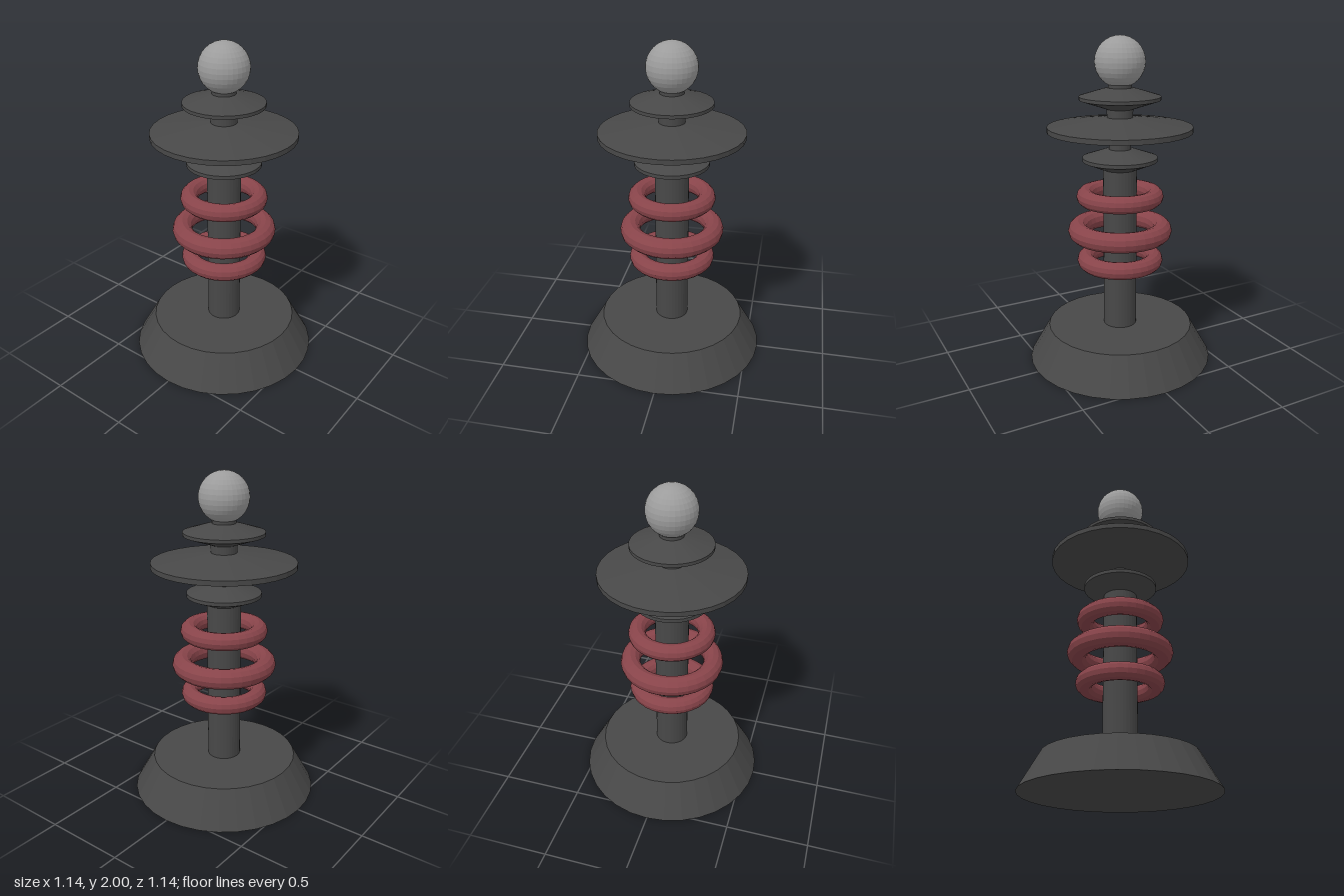
import * as THREE from 'three';

const SIDES = 32;

export function createModel() {
  const model = new THREE.Group();
  model.name = 'ringedTower';

  const material = (name, color) => {
    const m = new THREE.MeshStandardMaterial({ color, flatShading: true });
    m.name = name;
    return m;
  };
  const darkGrey = material('darkGrey', 0x484848);
  const red = material('red', 0x88444a);
  const lightGrey = material('lightGrey', 0x9c9c9c);

  const add = (name, geometry, mat, y = 0) => {
    const mesh = new THREE.Mesh(geometry, mat);
    mesh.name = name;
    mesh.position.y = y;
    model.add(mesh);
  };

  // Closed turned part from [radius, y] points, bottom to top
  const turned = (name, points) => {
    const profile = [[0, points[0][1]], ...points, [0, points[points.length - 1][1]]];
    add(name, new THREE.LatheGeometry(profile.map(([r, y]) => new THREE.Vector2(r, y)), SIDES), darkGrey);
  };

  // Base and main column
  turned('base', [[0.572, 0], [0.45, 0.215]]);
  turned('column', [[0.102, 0.215], [0.102, 1.22]]);

  // Floating rings around the column
  for (const [name, y, radius, tube] of [
    ['lowerRing', 0.642, 0.212, 0.053],
    ['middleRing', 0.835, 0.258, 0.061],
    ['upperRing', 1.05, 0.212, 0.053],
  ]) {
    add(name, new THREE.TorusGeometry(radius, tube, 12, SIDES).rotateX(Math.PI / 2), red, y);
  }

  // Tapered discs
  turned('lowerDisc', [[0.102, 1.217], [0.225, 1.268], [0.225, 1.29], [0.08, 1.34]]);
  turned('middleDisc', [[0.075, 1.388], [0.433, 1.447], [0.433, 1.477], [0.08, 1.53]]);
  turned('upperDisc', [[0.08, 1.578], [0.242, 1.633], [0.242, 1.653], [0.08, 1.702]]);

  // Necks between the discs and under the ball
  turned('lowerNeck', [[0.067, 1.32], [0.067, 1.41]]);
  turned('middleNeck', [[0.078, 1.51], [0.078, 1.6]]);
  turned('upperNeck', [[0.071, 1.68], [0.071, 1.74]]);

  // Ball on top
  add('topBall', new THREE.SphereGeometry(0.149, SIDES, 16), lightGrey, 1.851);

  return model;
}
